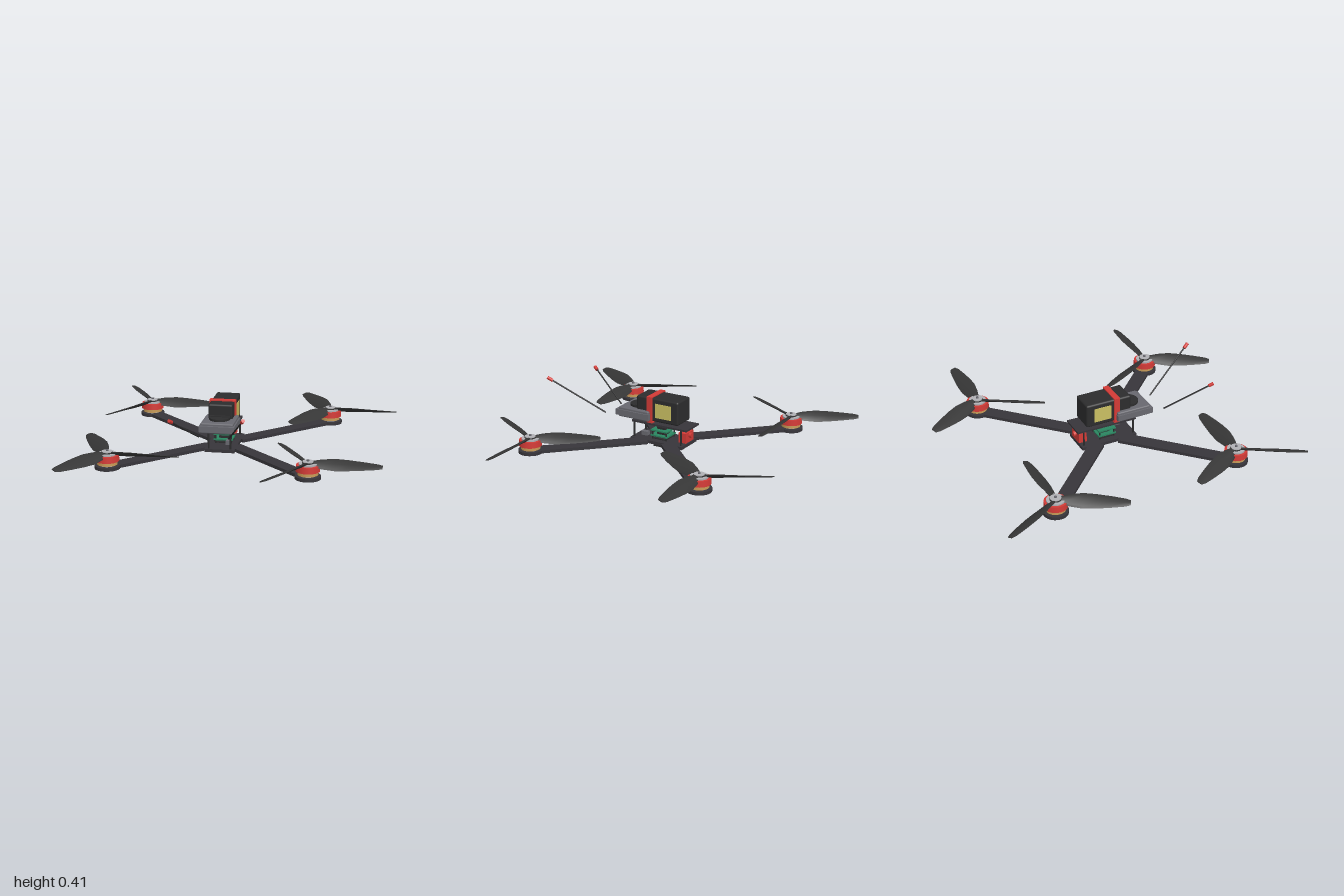
import * as THREE from 'three';
import { toCreasedNormals } from 'three/addons/utils/BufferGeometryUtils.js';
import { RoundedBoxGeometry } from 'three/addons/geometries/RoundedBoxGeometry.js';

const mat = (name, color) => {
  const m = new THREE.MeshStandardMaterial({ color });
  m.name = name;
  return m;
};

// Twisted blade along +x; hand = 1 or -1 sets the pitch direction
function bladeGeometry(hand) {
  // radius, chord, thickness, pitch in degrees
  const sections = [
    [0.03, 0.05, 0.02, 32], [0.08, 0.078, 0.016, 31], [0.16, 0.102, 0.014, 28], [0.24, 0.098, 0.012, 24],
    [0.33, 0.08, 0.01, 21], [0.41, 0.058, 0.008, 18], [0.44, 0.036, 0.006, 17],
  ];
  const n = 8, pos = [], idx = [];
  for (const [r, chord, thick, deg] of sections) {
    const p = THREE.MathUtils.degToRad(deg) * hand;
    for (let i = 0; i < n; i++) {
      const a = (i / n) * Math.PI * 2;
      const c = Math.cos(a) * chord / 2, t = Math.sin(a) * thick / 2;
      pos.push(r, c * Math.sin(p) + t * Math.cos(p), c * Math.cos(p) - t * Math.sin(p));
    }
  }
  const last = (sections.length - 1) * n;
  for (let i = 0; i < n; i++) {
    const k = (i + 1) % n;
    for (let j = 0; j < last; j += n) idx.push(j + i, j + n + i, j + n + k, j + i, j + n + k, j + k);
    if (i > 0 && i < n - 1) idx.push(0, i, k, last, last + k, last + i);
  }
  const g = new THREE.BufferGeometry();
  g.setAttribute('position', new THREE.Float32BufferAttribute(pos, 3));
  g.setIndex(idx);
  return toCreasedNormals(g, 0.7);
}

export function createModel() {
  const carbon = mat('carbon', 0x37353a);
  const propBlack = mat('propeller black', 0x363636);
  const black = mat('black', 0x2c2c2d);
  const red = mat('red', 0xd23a36);
  const copper = mat('copper', 0xc99c58);
  const silver = mat('silver', 0xb0b0b4);
  const grey = mat('grey', 0x68686f);
  const yellow = mat('yellow', 0xc9bf62);
  const green = mat('green', 0x2a8560);

  const model = new THREE.Group();
  model.name = 'quadcopter';
  const craft = new THREE.Group();
  craft.name = 'craft';
  craft.position.x = -0.105;
  model.add(craft);

  const add = (parent, name, geo, material, x = 0, y = 0, z = 0) => {
    const m = new THREE.Mesh(geo, material);
    m.name = name;
    m.position.set(x, y, z);
    parent.add(m);
    return m;
  };
  // Box given by its min and max on each axis
  const box = (name, material, x0, x1, y0, y1, z0, z1) =>
    add(craft, name, new THREE.BoxGeometry(x1 - x0, y1 - y0, z1 - z0), material,
      (x0 + x1) / 2, (y0 + y1) / 2, (z0 + z1) / 2);
  // Upright cylinder between two heights
  const disc = (parent, name, material, r, y0, y1, x = 0, z = 0, sides = 24, rTop = r) =>
    add(parent, name, new THREE.CylinderGeometry(rTop, r, y1 - y0, sides), material, x, (y0 + y1) / 2, z);
  // Cylinder between two points
  const rod = (name, material, a, b, r, sides = 8) => {
    const d = b.clone().sub(a);
    const m = add(craft, name, new THREE.CylinderGeometry(r, r, d.length(), sides), material);
    m.position.copy(a).addScaledVector(d, 0.5);
    m.quaternion.setFromUnitVectors(new THREE.Vector3(0, 1, 0), d.normalize());
  };

  // Arms, motors and propellers
  const blades = { '1': bladeGeometry(1), '-1': bladeGeometry(-1) };
  for (const sx of [-1, 1]) for (const sz of [-1, 1]) {
    const arm = add(craft, 'arm', new THREE.BoxGeometry(0.75, 0.02, 0.09), carbon, sx * 0.345, 0.04, sz * 0.345);
    arm.rotation.y = -Math.atan2(sz, sx);

    const unit = new THREE.Group();
    unit.name = 'motorUnit';
    unit.position.set(sx * 0.61, 0, sz * 0.61);
    craft.add(unit);
    disc(unit, 'motorPad', carbon, 0.078, 0.03, 0.05);
    disc(unit, 'motorBase', silver, 0.05, 0.05, 0.056);
    disc(unit, 'windings', copper, 0.062, 0.056, 0.078);
    disc(unit, 'motorBell', red, 0.073, 0.078, 0.116, 0, 0, 24, 0.071);
    disc(unit, 'hubPlate', silver, 0.056, 0.116, 0.126);
    disc(unit, 'hub', propBlack, 0.036, 0.11, 0.133);
    disc(unit, 'hubCap', silver, 0.034, 0.133, 0.138);
    disc(unit, 'shaft', grey, 0.008, 0.138, 0.147, 0, 0, 12);
    for (let i = 0; i < 3; i++) {
      const blade = add(unit, 'blade', blades[-sx * sz], propBlack, 0, 0.122, 0);
      blade.rotation.y = (i * Math.PI * 2) / 3;
    }
  }

  // Frame plates and standoffs
  box('bottomPlate', carbon, -0.095, 0.095, 0.03, 0.05, -0.19, 0.19);
  box('topPlate', carbon, -0.08, 0.08, 0.15, 0.162, -0.215, 0.19);
  for (const x of [-0.07, 0.07]) for (const z of [-0.17, 0.175]) {
    disc(craft, 'standoff', black, 0.006, 0.05, 0.15, x, z, 10);
  }

  // Underside pod
  box('bellyPod', black, -0.05, 0.05, 0, 0.056, -0.045, 0.045);

  // Electronics stack
  for (const y of [0.07, 0.105]) {
    box('circuitBoard', green, -0.06, 0.06, y, y + 0.009, -0.06, 0.06);
    box('chip', black, -0.03, 0.03, y + 0.009, y + 0.022, -0.03, 0.03);
    for (const x of [-0.05, 0.05]) for (const z of [-0.05, 0.05]) {
      disc(craft, 'boardSpacer', black, 0.005, y - 0.026, y, x, z, 8);
    }
  }
  box('receiver', grey, 0.03, 0.06, 0.064, 0.09, 0.085, 0.13);

  // Rear power module
  box('rearModule', red, -0.05, 0.05, 0.06, 0.125, -0.195, -0.14);
  const plug = add(craft, 'rearPlug', new THREE.CylinderGeometry(0.017, 0.017, 0.02, 16), red, 0, 0.105, -0.202);
  plug.rotation.x = Math.PI / 2;

  // Battery with side labels and strap
  add(craft, 'battery', new RoundedBoxGeometry(0.154, 0.157, 0.307, 2, 0.012), black, 0, 0.254, 0.002);
  for (const s of [-1, 1]) {
    box('batteryLabel', yellow, s * 0.078 - 0.002, s * 0.078 + 0.002, 0.205, 0.3, -0.1, 0.016);
    box('strapSide', red, s * 0.08 - 0.004, s * 0.08 + 0.004, 0.168, 0.339, 0.037, 0.075);
  }
  box('strapTop', red, -0.08, 0.08, 0.331, 0.339, 0.037, 0.075);
  box('strapBottom', red, -0.08, 0.08, 0.163, 0.17, 0.037, 0.075);

  // Front housing with a raised round cover
  add(craft, 'housing', new RoundedBoxGeometry(0.204, 0.066, 0.225, 2, 0.008), grey, 0, 0.209, 0.165);
  box('housingRim', grey, -0.111, 0.111, 0.188, 0.226, 0.05, 0.294);
  disc(craft, 'housingCover', black, 0.065, 0.24, 0.256, 0, 0.172, 28);
  box('coverBlock', black, -0.065, 0.065, 0.24, 0.262, 0.1, 0.172);

  // Antennas with coloured tips
  const antennas = [
    [new THREE.Vector3(0.093, 0.18, 0.38), new THREE.Vector3(0.242, 0.4, 0.73)],
    [new THREE.Vector3(-0.093, 0.185, 0.38), new THREE.Vector3(-0.214, 0.36, 0.665)],
  ];
  for (const [a, b] of antennas) {
    const neck = a.clone().lerp(b, 0.91);
    rod('antenna', black, a, neck, 0.005);
    rod('antennaTip', red, neck, b, 0.011, 12);
  }
  return model;
}
